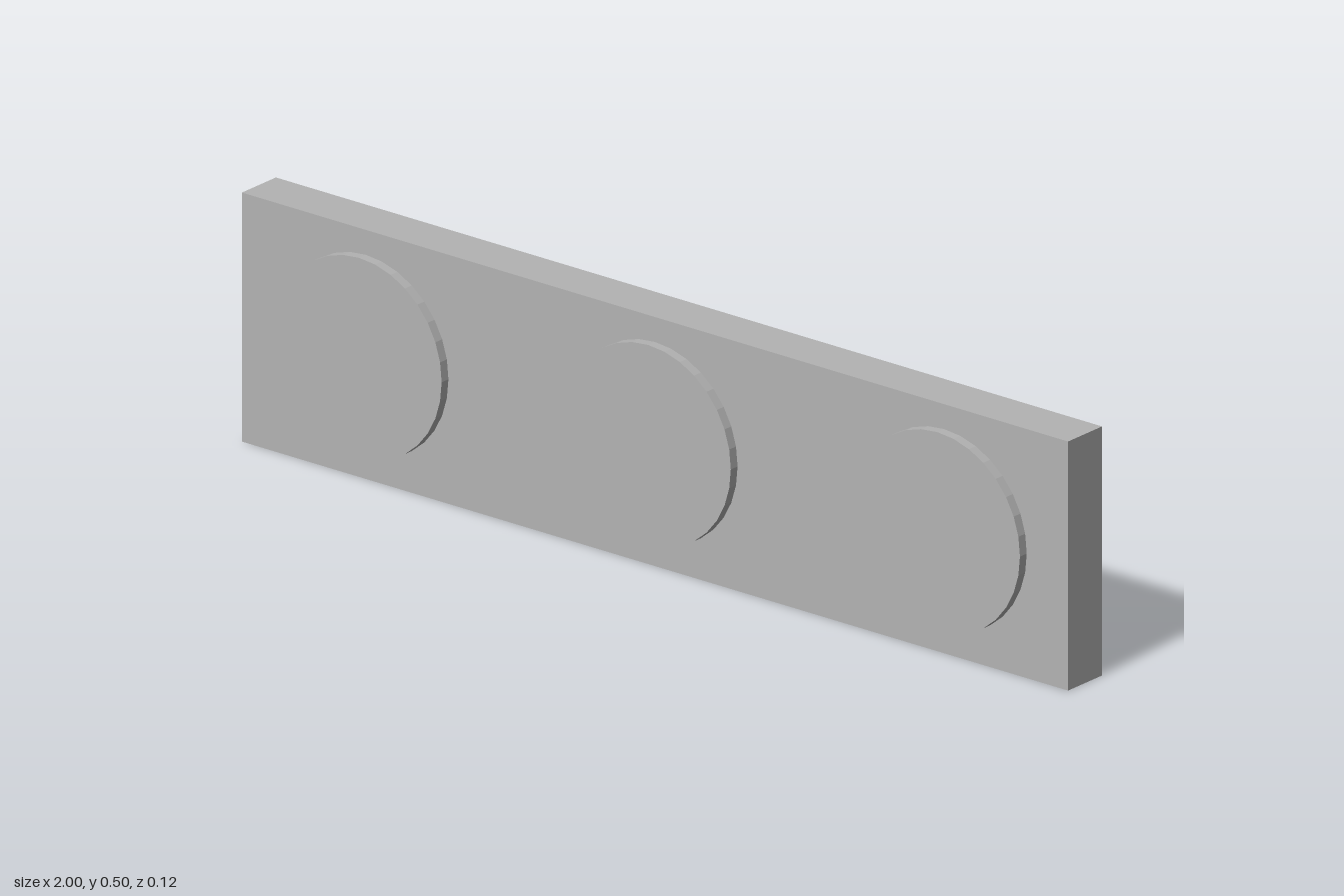
import * as THREE from 'three';

export function createModel() {
  const model = new THREE.Group();
  model.name = 'wallWithDiscs';

  const grey = new THREE.MeshStandardMaterial({ color: 0xb3b3b3 });
  grey.name = 'grey';

  // Upright panel, divided into a grid of 0.1 squares
  const panel = new THREE.Mesh(new THREE.BoxGeometry(2, 0.5, 0.1, 20, 5, 1), grey);
  panel.name = 'panel';
  panel.position.set(0, 0.25, -0.01);
  model.add(panel);

  // Three faceted discs on the front face
  const discGeometry = new THREE.CylinderGeometry(0.2, 0.2, 0.02, 32)
    .rotateX(Math.PI / 2)
    .toNonIndexed();
  discGeometry.computeVertexNormals();
  ['rightDisc', 'middleDisc', 'leftDisc'].forEach((name, i) => {
    const disc = new THREE.Mesh(discGeometry, grey);
    disc.name = name;
    disc.position.set((i - 1) * 0.7, 0.25, 0.05);
    model.add(disc);
  });

  return model;
}
